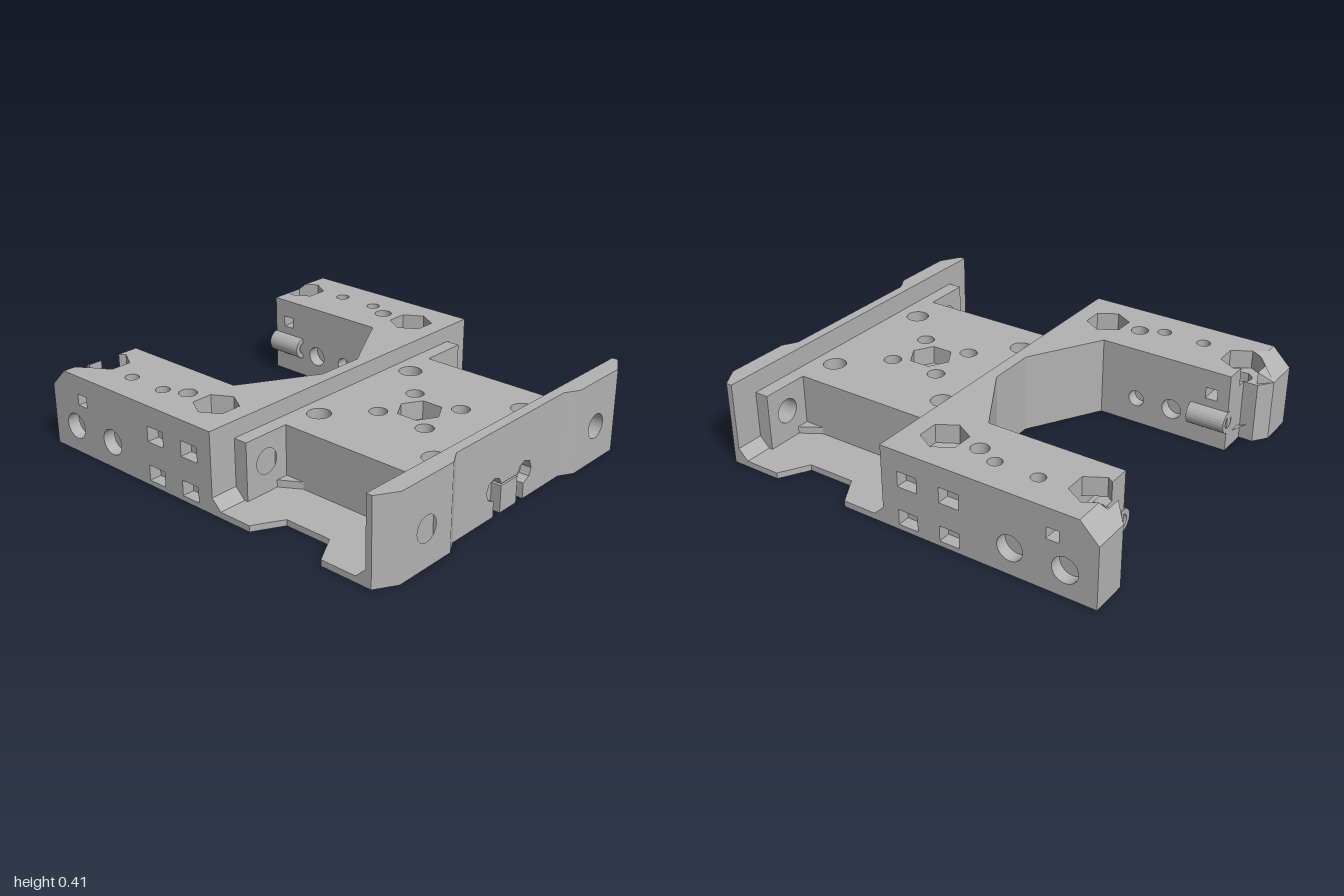
import * as THREE from 'three';

const SIDES = [-1, 1];
const v = (p) => p.map(([a, b]) => new THREE.Vector2(a, b));
const circle = (x, y, r) => new THREE.Path().absarc(x, y, r, 0, Math.PI * 2, true);
const rect = (x0, y0, x1, y1) => new THREE.Path(v([[x0, y0], [x0, y1], [x1, y1], [x1, y0]]));
const mirror = (pts) => pts.map(([x, z]) => [-x, z]);
const both = (half) => [...half, ...mirror(half).reverse()];

function extrude(pts, holes, depth) {
  const shape = new THREE.Shape(v(pts));
  shape.holes.push(...holes);
  return new THREE.ExtrudeGeometry(shape, { depth, bevelEnabled: false, curveSegments: 28 });
}
// plan outline (x, z) raised from y0 to y1; holes are [x, z, r]
function slab(pts, holes, y0, y1) {
  const paths = holes.map((h) => h instanceof THREE.Path ? h : circle(h[0], -h[1], h[2]));
  return extrude(pts.map(([x, z]) => [x, -z]), paths, y1 - y0).rotateX(-Math.PI / 2).translate(0, y0, 0);
}
// side outline (-z, y) pushed from x0 to x1
const sideSlab = (pts, holes, x0, x1) => extrude(pts, holes, x1 - x0).rotateY(Math.PI / 2).translate(x0, 0, 0);
// front outline (x, y) pushed from z0 to z1
const frontSlab = (pts, holes, z0, z1) => extrude(pts, holes, z1 - z0).translate(0, 0, z0);

function hexagon(x, z, r, turn = 0) {
  const pts = [];
  for (let i = 0; i < 6; i++) {
    const a = turn + i * Math.PI / 3;
    pts.push([x + r * Math.cos(a), -z + r * Math.sin(a)]);
  }
  return new THREE.Path(v(pts));
}

export function createModel() {
  const group = new THREE.Group();
  const grey = new THREE.MeshStandardMaterial({ color: 0xb2b2b2 });
  grey.name = 'grey';
  const add = (name, geometry) => {
    const mesh = new THREE.Mesh(geometry, grey);
    mesh.name = name;
    group.add(mesh);
  };

  // vertical holes of the centre block
  const bolts = [[0, 0.47, 0.05]];
  for (const s of SIDES) {
    bolts.push([s * 0.32, 0.16, 0.055], [s * 0.32, 0.8, 0.055]);
    bolts.push([s * 0.13, 0.34, 0.042], [s * 0.13, 0.6, 0.042]);
  }
  const bores = bolts.map(([x, z]) => [x, z, 0.082]);

  // floor plate with side notches, and the centre block on it
  add('floorPlate', slab(both([[0.88, 0.91], [0.88, 0.68], [0.74, 0.6], [0.74, 0.36], [0.88, 0.28], [0.88, 0.06]]),
    bores, 0, 0.03));
  const block = both([[0.5, 0.91], [0.5, 0.06]]);
  add('blockBase', slab(block, bores, 0.03, 0.08));
  add('blockBody', slab(block, bolts, 0.08, 0.22));
  add('blockTop', slab(block, [...bolts.slice(1), hexagon(0, 0.47, 0.105, Math.PI / 6)], 0.22, 0.31));

  // bored tabs and their fillets at the block's corners
  for (const s of SIDES) {
    const tab = [[s * 0.5, 0.03], [s * 0.74, 0.03], [s * 0.74, 0.31], [s * 0.5, 0.31]];
    for (const [edge, dir] of [[0.06, 1], [0.91, -1]]) {
      const inner = edge + dir * 0.07;
      add('boredTab', frontSlab(tab, [circle(s * 0.62, 0.18, 0.06)], Math.min(edge, inner), Math.max(edge, inner)));
      add('cornerFillet', slab([[s * 0.5, inner], [s * 0.56, inner], [s * 0.5, inner + dir * 0.1]], [], 0.03, 0.065));
      const x0 = s > 0 ? 0.74 : -0.88;
      add('floorFillet', sideSlab([[-edge, 0.03], [-edge, 0.08], [-edge - dir * 0.05, 0.03]], [], x0, x0 + 0.14));
    }
  }

  // front wall: notched middle, sloped joints, bored flats and tapered ends
  add('frontWallMiddle', frontSlab(both([[0.39, 0.41], [0.39, 0], [0.11, 0], [0.11, 0.075], [0.15, 0.095],
    [0.165, 0.13], [0.15, 0.17], [0.11, 0.185], [0.075, 0.17], [0.06, 0.14]]), [], 0.91, 0.96));
  add('frontTab', new THREE.BoxGeometry(0.12, 0.13, 0.05).translate(0, 0.065, 0.935));
  for (const s of SIDES) {
    add('frontWallJoint', slab([[s * 0.39, 0.91], [s * 0.46, 0.91], [s * 0.46, 1], [s * 0.39, 0.96]], [], 0, 0.41));
    add('frontWallFlat', frontSlab([[s * 0.46, 0], [s * 0.78, 0], [s * 0.78, 0.41], [s * 0.46, 0.41]],
      [circle(s * 0.62, 0.18, 0.06)], 0.91, 1));
    add('frontWallEnd', slab([[s * 0.78, 0.91], [s * 0.88, 0.91], [s * 0.88, 0.94], [s * 0.78, 1]], [], 0, 0.41));
  }

  // U-shaped rear frame, stacked in layers so every bore stays open
  const inside = [[0.54, -0.21], [0.48, -0.21], [0.12, 0]];
  const frame = both([[0.82, 0.06], [0.82, -1], [0.7, -1], [0.63, -0.95], [0.63, -0.88], [0.54, -0.88], ...inside]);
  const shafts = [], frameTopHoles = [];
  for (const s of SIDES) {
    shafts.push([s * 0.67, -0.12, 0.05], [s * 0.67, -0.3, 0.042], [s * 0.67, -0.85, 0.05]);
    frameTopHoles.push(hexagon(s * 0.67, -0.12, 0.105), [s * 0.67, -0.3, 0.042],
      [s * 0.72, -0.41, 0.033], [s * 0.72, -0.62, 0.033]);
  }
  add('frameBase', slab(frame, shafts.map(([x, z]) => [x, z, z < -0.8 ? 0.075 : 0.082]), 0, 0.08));
  add('frameBody', slab(frame, shafts, 0.08, 0.245));
  add('frameSlotLayer', slab(both([[0.82, 0.06], [0.82, -0.76], [0.54, -0.76], ...inside]),
    shafts.filter((h) => h[1] > -0.5), 0.245, 0.3));
  const tip = [[0.82, -1], [0.7, -1], [0.63, -0.95], [0.63, -0.88], [0.54, -0.88], [0.54, -0.82], [0.63, -0.82],
    [0.624, -0.865], [0.645, -0.893], [0.67, -0.9], [0.695, -0.893], [0.716, -0.865], [0.71, -0.82], [0.82, -0.82]];
  for (const pts of [tip, mirror(tip)]) add('armTip', slab(pts, [], 0.245, 0.3));

  // top layer: the rear hexagon pocket breaks out of the edge, the rear slopes down
  const top = slab(both([[0.82, 0.06], [0.82, -0.91], [0.82, -1], [0.7, -1], [0.642, -0.94], [0.722, -0.94],
    [0.74, -0.91], [0.775, -0.85], [0.722, -0.76], [0.617, -0.76], [0.565, -0.85], [0.585, -0.88], [0.54, -0.88],
    ...inside]), frameTopHoles, 0.3, 0.39);
  const pos = top.attributes.position;
  for (let i = 0; i < pos.count; i++) pos.setY(i, Math.min(pos.getY(i), 0.39 + Math.min(0, pos.getZ(i) + 0.91)));
  top.computeVertexNormals();
  add('frameTop', top);

  // arm side walls with windows and cross bores
  const outer = [[-0.06, 0], [1, 0], [1, 0.3], [0.91, 0.39], [-0.06, 0.39]];
  const inner = [[0.21, 0], [0.88, 0], [0.88, 0.39], [0.21, 0.39]];
  for (const s of SIDES) {
    const window = () => rect(0.76, 0.245, 0.82, 0.3);
    const holes = [window(), circle(0.59, 0.13, 0.062), circle(0.85, 0.13, 0.062)];
    for (const z of [0.025, 0.24]) holes.push(rect(z, 0.215, z + 0.1, 0.29), rect(z, 0.025, z + 0.1, 0.1));
    add('armOuterWall', sideSlab(outer, holes, s > 0 ? 0.82 : -0.88, s > 0 ? 0.88 : -0.82));
    add('armInnerWall', sideSlab(inner, [window(), circle(0.59, 0.13, 0.05), circle(0.4, 0.13, 0.04)],
      s > 0 ? 0.48 : -0.54, s > 0 ? 0.54 : -0.48));
    // hollow pin socket on the inner rear corner
    const ring = [];
    for (let i = 0; i < 24; i++) {
      const a = i * Math.PI / 12;
      ring.push([s * 0.487 + 0.055 * Math.cos(a), 0.15 + 0.055 * Math.sin(a)]);
    }
    add('pinSocket', frontSlab(ring, [circle(s * 0.487, 0.15, 0.03)], -0.882, -0.69));
  }
  return group;
}
